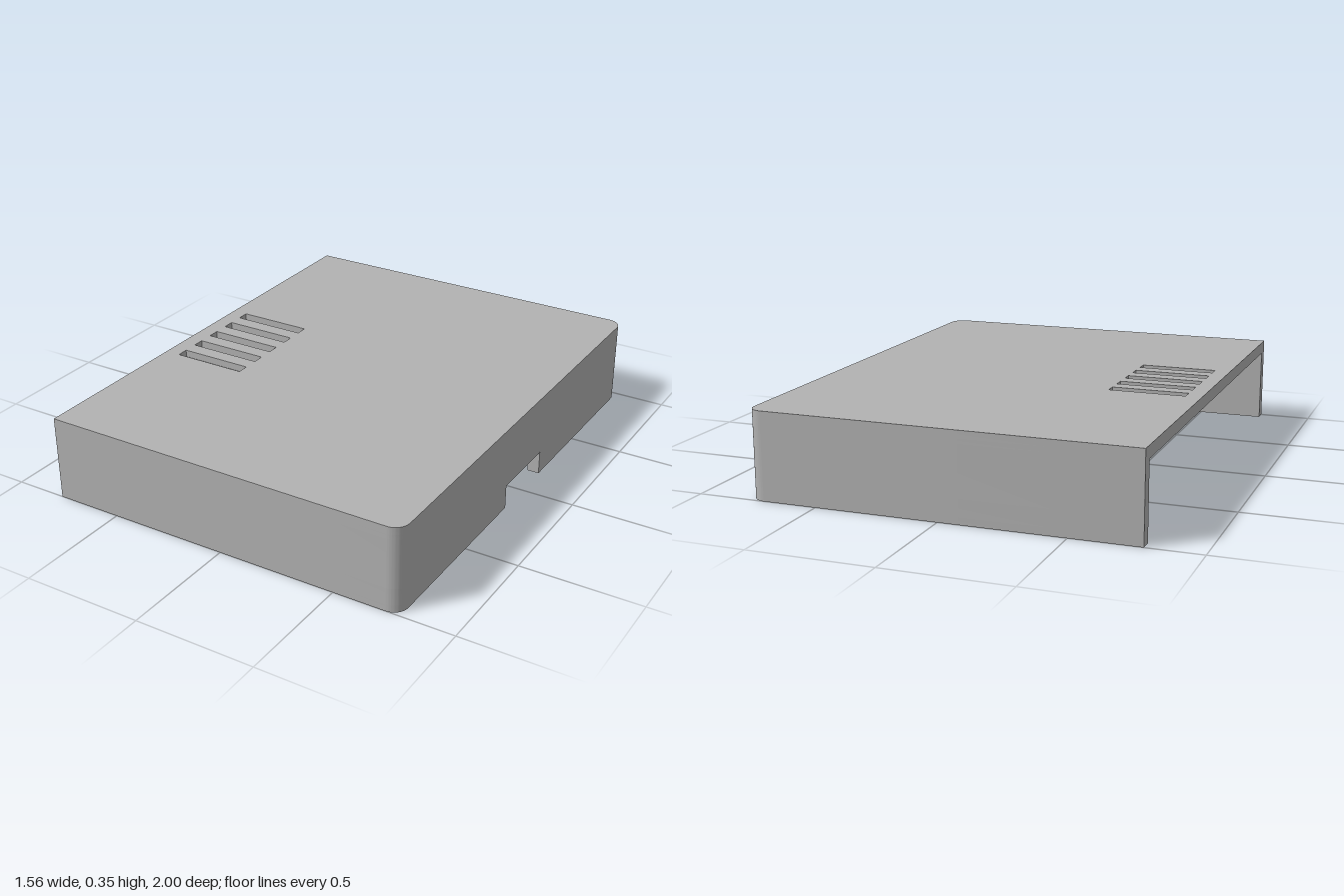
import * as THREE from 'three';
import { toCreasedNormals } from 'three/addons/utils/BufferGeometryUtils.js';

const X = 0.78, Z = 1, H = 0.355, R = 0.06;
const WALL = 0.05, ROOF = 0.05, VENT_DEPTH = 0.03;
const NOTCH_HALF = 0.157, NOTCH_H = 0.1, GROOVE_H = 0.03;

// Closed rectangle usable as a hole
function rect(x0, x1, y0, y1) {
  const p = new THREE.Path();
  p.moveTo(x0, y0);
  p.lineTo(x1, y0);
  p.lineTo(x1, y1);
  p.lineTo(x0, y1);
  p.closePath();
  return p;
}

// Lid outline: square at the open end, rounded at the other
function plateShape() {
  const s = new THREE.Shape();
  s.moveTo(-X, -Z);
  s.lineTo(X - R, -Z);
  s.absarc(X - R, -Z + R, R, -Math.PI / 2, 0, false);
  s.lineTo(X, Z - R);
  s.absarc(X - R, Z - R, R, 0, Math.PI / 2, false);
  s.lineTo(-X, Z);
  s.closePath();
  return s;
}

// Half of the U-shaped wall, stopping at distance gap from the middle
function wallShape(side, gap) {
  const s = new THREE.Shape();
  s.moveTo(-X, side * (Z - WALL));
  s.lineTo(-X, side * Z);
  s.lineTo(X - R, side * Z);
  s.absarc(X - R, side * (Z - R), R, side * Math.PI / 2, 0, side > 0);
  s.lineTo(X, side * gap);
  s.lineTo(X - WALL, side * gap);
  s.lineTo(X - WALL, side * (Z - WALL));
  s.closePath();
  return s;
}

export function createModel() {
  const group = new THREE.Group();
  const grey = new THREE.MeshStandardMaterial({ color: 0xb2b2b2 });
  grey.name = 'grey';

  // Extrude a plan shape upwards between two heights
  function slab(name, shape, y0, y1) {
    const g = new THREE.ExtrudeGeometry(shape, { depth: y1 - y0, bevelEnabled: false, curveSegments: 10 });
    g.rotateX(-Math.PI / 2);
    g.translate(0, y0, 0);
    const mesh = new THREE.Mesh(toCreasedNormals(g, 0.5), grey);
    mesh.name = name;
    group.add(mesh);
  }

  // Roof: solid lower layer, upper layer with recessed vent slots
  const ventLayer = plateShape();
  for (let i = 0; i < 5; i++) {
    const z = -0.185 + i * 0.1115;
    ventLayer.holes.push(rect(-0.715, -0.4, -z - 0.025, -z + 0.025));
  }
  slab('roofBase', plateShape(), H - ROOF, H - VENT_DEPTH);
  slab('ventedRoof', ventLayer, H - VENT_DEPTH, H);

  for (const side of [-1, 1]) {
    // Walls: full band, band beside the cable notch, grooved bottom rim
    slab('upperWall', wallShape(side, 0), NOTCH_H, H - ROOF);
    slab('lowerWall', wallShape(side, NOTCH_HALF), GROOVE_H, NOTCH_H);
    const rim = wallShape(side, NOTCH_HALF);
    const a = side * (Z - 0.034), b = side * (Z - 0.018);
    rim.holes.push(rect(-0.68, 0.69, Math.min(a, b), Math.max(a, b)));
    slab('groovedRim', rim, 0, GROOVE_H);

    // Small block in each inner corner
    const block = new THREE.Mesh(new THREE.BoxGeometry(0.06, 0.05, 0.08), grey);
    block.position.set(X - WALL - 0.03, 0.025, side * (Z - WALL - 0.04));
    block.name = 'cornerBlock';
    group.add(block);
  }
  return group;
}
